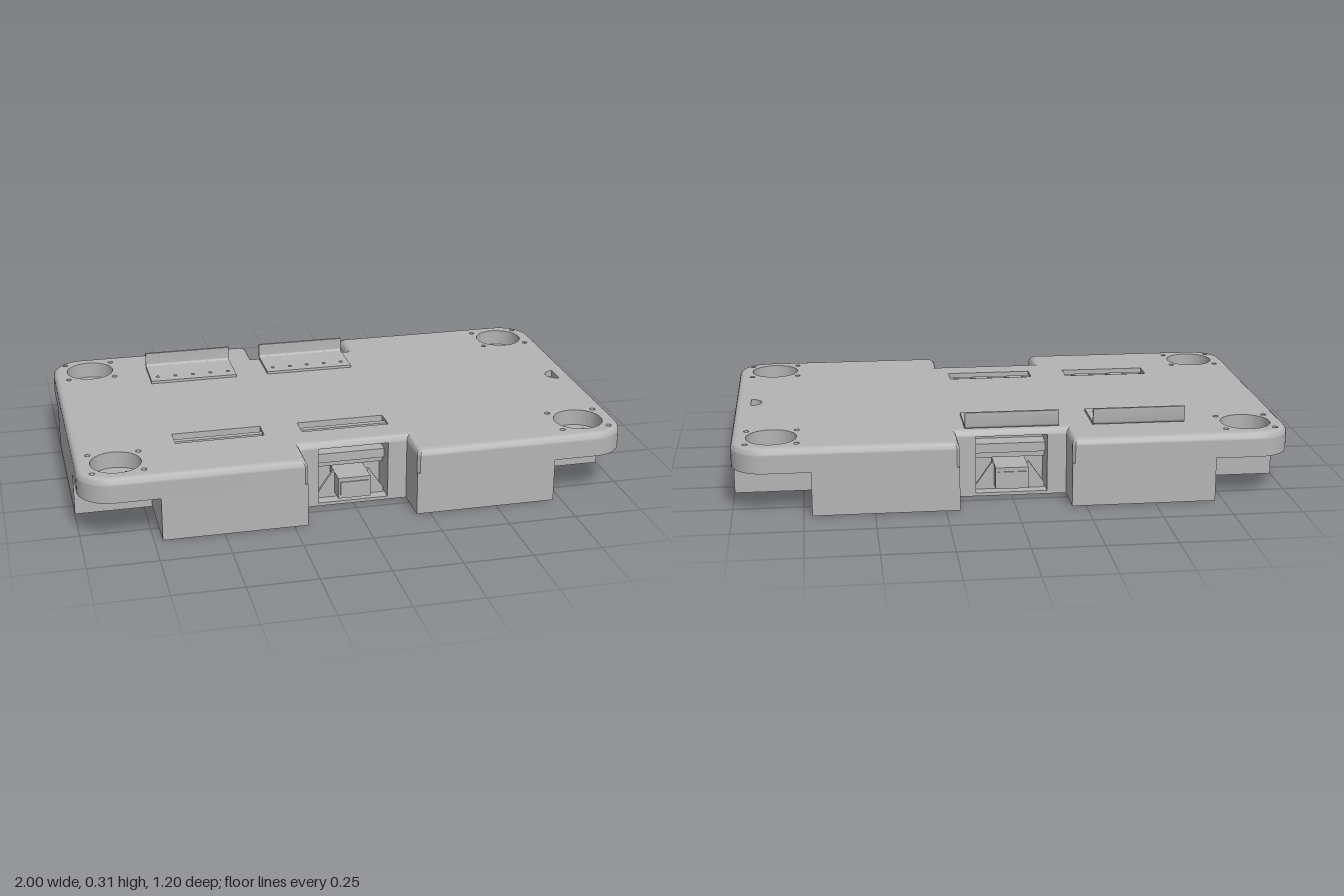
import * as THREE from 'three';
import { mergeVertices, toCreasedNormals } from 'three/addons/utils/BufferGeometryUtils.js';

const grey = new THREE.MeshStandardMaterial({ color: 0xb4b4b4 });
grey.name = 'grey';

const TOP = 0.25, RIM = 0.225, DECK = 0.16;
const POCKET = [[0.13, 0.455], [0.13, 0.33]];

// Mirrors one quadrant of points into a closed outline, anticlockwise
function fullOutline(q) {
  const half = [...q, ...q.map(([x, y]) => [-x, y]).reverse()];
  return [...half, ...half.map(([x, y]) => [-x, -y])];
}

// Rounded deck quadrant, shrunk by d, with the end notch
function deckQuadrant(d) {
  const r = 0.12 - d, pts = [];
  for (let i = 0; i <= 12; i++) {
    const a = (i / 12) * Math.PI / 2;
    pts.push([0.88 + r * Math.cos(a), 0.48 + r * Math.sin(a)]);
  }
  pts.push([0.21 + d, 0.6 - d], [0.2 + d, 0.59 - d], [0.2 + d, 0.455 - d]);
  return pts;
}

const toShape = pts => new THREE.Shape(pts.map(p => new THREE.Vector2(...p)));

// Extrudes a plan shape upwards; plan y is -z
function slab(shape, y0, y1) {
  const g = new THREE.ExtrudeGeometry(shape, { depth: y1 - y0, bevelEnabled: false, curveSegments: 32 });
  g.rotateX(-Math.PI / 2);
  g.translate(0, y0, 0);
  return toCreasedNormals(g, 0.5);
}

function circleHole(x, z, r) {
  const p = new THREE.Path();
  p.absarc(x, -z, r, 0, Math.PI * 2, true);
  return p;
}

function rectHole(x0, x1, z0, z1) {
  return new THREE.Path([[x0, -z0], [x1, -z0], [x1, -z1], [x0, -z1]].map(p => new THREE.Vector2(...p)));
}

// Rounded upper edge lofted between shrinking outlines
function rimGeometry() {
  const steps = [[0.022, RIM], [0, RIM]];
  for (let i = 1; i <= 5; i++) {
    const a = (i / 5) * Math.PI / 2;
    steps.push([0.022 * (1 - Math.cos(a)), RIM + (TOP - RIM) * Math.sin(a)]);
  }
  const pos = [], idx = [];
  const rings = steps.map(([d, y]) => fullOutline(deckQuadrant(d)).map(([x, p]) => [x, y, -p]));
  const n = rings[0].length;
  rings.forEach(ring => ring.forEach(p => pos.push(...p)));
  for (let j = 0; j < rings.length - 1; j++) {
    for (let i = 0; i < n; i++) {
      const a = j * n + i, b = j * n + (i + 1) % n;
      idx.push(a, b, b + n, a, b + n, a + n);
    }
  }
  const g = new THREE.BufferGeometry();
  g.setAttribute('position', new THREE.Float32BufferAttribute(pos, 3));
  g.setIndex(idx);
  return toCreasedNormals(mergeVertices(g), 0.6);
}

export function createModel() {
  const model = new THREE.Group();
  const add = (parent, name, geometry, x = 0, y = 0, z = 0) => {
    const m = new THREE.Mesh(geometry, grey);
    m.name = name;
    m.position.set(x, y, z);
    parent.add(m);
    return m;
  };
  const box = (parent, name, x0, x1, y0, y1, z0, z1) =>
    add(parent, name, new THREE.BoxGeometry(x1 - x0, y1 - y0, z1 - z0), (x0 + x1) / 2, (y0 + y1) / 2, (z0 + z1) / 2);

  const corners = [];
  for (const sx of [-1, 1]) for (const sz of [-1, 1]) corners.push([sx * 0.857, sz * 0.457]);
  const wells = () => corners.map(([x, z]) => circleHole(x, z, 0.09));
  const slots = [[-0.63, -0.305], [-0.165, 0.16]];

  // Lower body with square cut corners
  const lower = fullOutline([[1, 0.32], [0.72, 0.32], [0.72, 0.6], [0.2, 0.6], [0.2, 0.455], ...POCKET]);
  add(model, 'lowerBody', slab(toShape(lower), 0, DECK));

  // Overhanging deck with round corner wells
  const deck = toShape(fullOutline([...deckQuadrant(0), ...POCKET]));
  deck.holes.push(...wells());
  add(model, 'deck', slab(deck, DECK, RIM));
  add(model, 'deckRim', rimGeometry());

  // Top panel with wells, bolt holes, slots and a finger grip
  const panel = toShape(fullOutline(deckQuadrant(0.022)));
  panel.holes.push(...wells());
  for (const [x, z] of corners) {
    for (const dx of [-0.09, 0.09]) for (const dz of [-0.08, 0.08]) panel.holes.push(circleHole(x + dx, z + dz, 0.01));
  }
  for (const [x0, x1] of slots) panel.holes.push(rectHole(x0, x1, 0.255, 0.34));
  const grip = new THREE.Path();
  grip.absarc(0.941, 0, 0.041, Math.PI / 2, Math.PI * 1.5, false);
  grip.closePath();
  panel.holes.push(grip);
  add(model, 'topPanel', slab(panel, RIM, TOP));

  // Well floors with small screws
  for (const [x, z] of corners) {
    add(model, 'wellFloor', new THREE.CylinderGeometry(0.091, 0.091, 0.03, 40), x, DECK + 0.015, z);
    for (const dx of [-0.04, 0.04]) for (const dz of [-0.04, 0.04]) {
      add(model, 'wellScrew', new THREE.CylinderGeometry(0.006, 0.006, 0.003, 12), x + dx, DECK + 0.031, z + dz);
    }
  }

  // Rails in the front slots
  for (const [x0, x1] of slots) box(model, 'slotRail', x0, x1, RIM, TOP - 0.008, 0.287, 0.309);

  // Angle brackets near the back
  const profile = new THREE.Shape();
  profile.moveTo(-0.26, 0.25);
  profile.lineTo(-0.26, 0.26);
  profile.lineTo(-0.424, 0.26);
  profile.quadraticCurveTo(-0.434, 0.26, -0.434, 0.27);
  profile.lineTo(-0.434, 0.312);
  profile.lineTo(-0.444, 0.312);
  profile.lineTo(-0.444, 0.268);
  profile.quadraticCurveTo(-0.444, 0.25, -0.426, 0.25);
  for (const [x0, x1] of [[-0.635, -0.298], [-0.173, 0.168]]) {
    const g = new THREE.ExtrudeGeometry(profile, { depth: x1 - x0, bevelEnabled: false, curveSegments: 6 });
    g.rotateY(-Math.PI / 2);
    add(model, 'angleBracket', toCreasedNormals(g, 0.5), x1);
    for (let i = 0; i < 5; i++) {
      add(model, 'bracketScrew', new THREE.CylinderGeometry(0.007, 0.007, 0.003, 12), x0 + 0.03 + i * 0.07, 0.261, -0.304);
    }
  }

  // Docking socket in the pocket at each end
  for (const [name, turn] of [['frontDock', 0], ['backDock', Math.PI]]) {
    const dock = new THREE.Group();
    dock.name = name;
    dock.rotation.y = turn;
    box(dock, 'pocketFloor', -0.13, 0.13, 0, 0.012, 0.33, 0.455);
    box(dock, 'upperPanel', -0.13, 0.13, 0.145, 0.18, 0.33, 0.4);
    box(dock, 'lowerLedge', -0.13, 0.13, 0.12, 0.145, 0.33, 0.375);
    const guide = toShape([[-0.125, 0.012], [0.125, 0.012], [0.125, 0.03], [0.07, 0.11], [-0.07, 0.11], [-0.125, 0.03]]);
    add(dock, 'guidePlate', new THREE.ExtrudeGeometry(guide, { depth: 0.012, bevelEnabled: false }), 0, 0, 0.4);
    box(dock, 'socket', -0.06, 0.06, 0.03, 0.11, 0.34, 0.472);
    box(dock, 'socketFace', -0.052, 0.052, 0.036, 0.095, 0.47, 0.476);
    model.add(dock);
  }
  return model;
}
